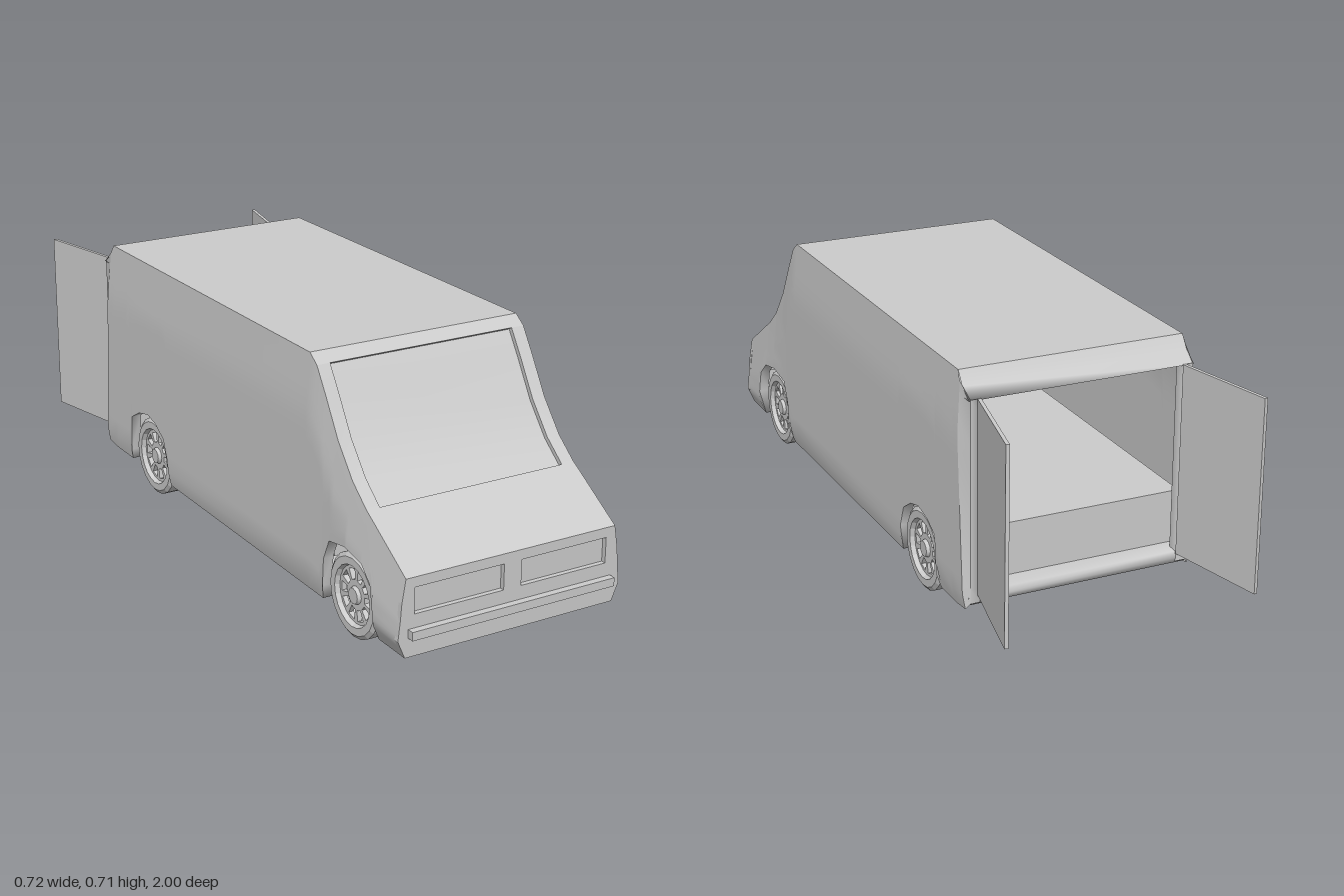
import * as THREE from 'three';

const material = new THREE.MeshStandardMaterial({ color: 0xcccccc, side: THREE.DoubleSide });
const lerp = THREE.MathUtils.lerp;

// Centre-line outline over the nose, screen and roof: [z, y]
const TOP = [[0.98, 0.265], [0.83, 0.36], [0.797, 0.38], [0.73, 0.435], [0.66, 0.52],
  [0.6, 0.62], [0.555, 0.69], [0.52, 0.715], [-0.64, 0.715], [-0.665, 0.678], [-0.705, 0.652]];
// Lower edge of the side panels with both wheel arches: [z, y]
const BOTTOM = [[0.98, 0.05], [0.862, 0.052], [0.86, 0.13], [0.845, 0.2], [0.8, 0.24], [0.72, 0.255], [0.64, 0.24],
  [0.612, 0.18], [0.607, 0.1], [0.59, 0.055], [0.2, 0.06], [-0.283, 0.066], [-0.285, 0.14], [-0.31, 0.205],
  [-0.36, 0.237], [-0.41, 0.25], [-0.47, 0.237], [-0.518, 0.21], [-0.528, 0.1], [-0.54, 0.066], [-0.62, 0.066]];
const EDGE = 0.322;

function topAt(z) {
  for (let i = 1; i < TOP.length; i++) {
    const [z0, y0] = TOP[i - 1], [z1, y1] = TOP[i];
    if (z >= z1) return lerp(y0, y1, (z0 - z) / (z0 - z1));
  }
  return TOP.at(-1)[1];
}

// Half width: sides belly out from the sill and from the upper edge
function halfWidth(y, z, top) {
  const bulge = Math.max(0, Math.min(1, (top - y) / 0.165, (y - 0.05) / 0.05));
  return EDGE + bulge * lerp(0.014, 0.021, THREE.MathUtils.smoothstep(z, 0.6, 0.86));
}

// Surface through rows of [x, y, z] points
function surface(rows) {
  const n = rows[0].length, index = [];
  for (let r = 0; r < rows.length - 1; r++) {
    for (let c = 0; c < n - 1; c++) {
      const a = r * n + c;
      index.push(a, a + 1, a + n, a + 1, a + n + 1, a + n);
    }
  }
  const g = new THREE.BufferGeometry();
  g.setAttribute('position', new THREE.Float32BufferAttribute(rows.flat(2), 3));
  g.setIndex(index);
  g.computeVertexNormals();
  return g;
}

// Sheet swept across x along a [z, y] path
const sheet = (path, x0, x1) => surface(path.map(([z, y]) => [[x0, y, z], [x1, y, z]]));

function box(x0, x1, y0, y1, z0, z1) {
  return new THREE.BoxGeometry(x1 - x0, y1 - y0, z1 - z0)
    .translate((x0 + x1) / 2, (y0 + y1) / 2, (z0 + z1) / 2);
}

function rectHole(x0, x1, y0, y1) {
  return new THREE.Path([[x0, y0], [x0, y1], [x1, y1], [x1, y0]].map(p => new THREE.Vector2(...p)));
}

function add(parent, name, geometry) {
  const mesh = new THREE.Mesh(geometry, material);
  mesh.name = name;
  parent.add(mesh);
  return mesh;
}

function makeWheel() {
  const wheel = new THREE.Group();
  // Tyre: lathe ring turned onto the x axis
  const ring = [[0.085, -0.042], [0.106, -0.042], [0.117, -0.034], [0.117, 0.034], [0.106, 0.042],
    [0.085, 0.042], [0.08, 0.03], [0.08, -0.036], [0.085, -0.042]].map(p => new THREE.Vector2(...p));
  const tyre = new THREE.LatheGeometry(ring, 20).toNonIndexed();
  tyre.computeVertexNormals();
  add(wheel, 'tyre', tyre.rotateZ(-Math.PI / 2));
  // Rim disc with ten tapered openings
  const disc = new THREE.Shape().absarc(0, 0, 0.083, 0, Math.PI * 2);
  for (let i = 0; i < 10; i++) {
    const a = i * Math.PI / 5;
    disc.holes.push(new THREE.Path([[0.042, -0.2], [0.072, -0.2], [0.072, 0.2], [0.042, 0.2]]
      .map(([r, d]) => new THREE.Vector2(r * Math.cos(a + d), r * Math.sin(a + d)))));
  }
  const rim = new THREE.ExtrudeGeometry(disc, { depth: 0.014, bevelEnabled: false, curveSegments: 20 });
  add(wheel, 'rim', rim.rotateY(Math.PI / 2).translate(0.015, 0, 0));
  add(wheel, 'hubCap', new THREE.CylinderGeometry(0.022, 0.026, 0.012, 12).rotateZ(-Math.PI / 2).translate(0.033, 0, 0));
  return wheel;
}

function makeSide(s) {
  const side = new THREE.Group();
  const zs = [...new Set([...BOTTOM, ...TOP].map(p => p[0]))].filter(z => z >= -0.62).sort((a, b) => b - a);
  const bottomAt = z => {
    const i = Math.max(1, BOTTOM.findIndex(p => p[0] <= z));
    const [z0, y0] = BOTTOM[i - 1], [z1, y1] = BOTTOM[i];
    return lerp(y0, y1, (z0 - z) / (z0 - z1));
  };
  const N = 14;
  const columns = zs.map(z => {
    const lo = bottomAt(z), hi = topAt(z);
    return Array.from({ length: N + 1 }, (_, i) => {
      const y = lerp(lo, hi, i / N);
      return [s * halfWidth(y, z, hi), y, z];
    });
  });
  // Leaning rear edge of the panel, then the corner pillar turning in to the doorway
  const rear = [], pillar = [];
  for (let i = 0; i <= N; i++) {
    const t = i / N, y = lerp(0.075, 0.69, t);
    rear.push([s * halfWidth(y, -0.66, 0.715), y, lerp(-0.698, -0.655, t)]);
    pillar.push([s * 0.318, lerp(0.09, 0.655, t), -0.705]);
  }
  columns.push(columns.at(-1).map(([x, y], i) => [x, i === N ? 0.715 : y, -0.64]), rear);
  add(side, 'sidePanel', surface(columns));
  add(side, 'cornerPillar', surface([rear, pillar]));
  add(side, 'doorPost', surface([pillar, pillar.map(([, y, z]) => [s * 0.29, y, z]),
    pillar.map(([, y]) => [s * 0.29, y, -0.67])]));
  // Inward lip around the wheel arches and sill
  add(side, 'archLip', surface(BOTTOM.map(([z, y]) => {
    const x = halfWidth(y, z, topAt(z));
    return [[s * x, y, z], [s * (x - 0.03), y, z]];
  })));
  for (const z of [0.73, -0.403]) {
    const wheel = makeWheel();
    wheel.name = z > 0 ? 'frontWheel' : 'rearWheel';
    wheel.position.set(s * 0.28, 0.117, z);
    if (s < 0) wheel.rotation.y = Math.PI;
    side.add(wheel);
  }
  // Rear door swung open
  const door = add(side, 'rearDoor', box(-0.005, 0.005, 0.113, 0.655, -0.3, 0));
  door.position.set(s * 0.293, 0, -0.705);
  door.rotation.y = -s * 0.212;
  door.scale.z = 1.003;
  return side;
}

export function createModel() {
  const van = new THREE.Group();
  van.name = 'van';

  for (const s of [1, -1]) {
    const side = makeSide(s);
    side.name = s > 0 ? 'leftSide' : 'rightSide';
    van.add(side);
  }

  // Front panel with lamp recesses
  const half = [[0.322, 0.05], [0.343, 0.1], [0.337, 0.15], [0.333, 0.2], [0.322, 0.265]];
  const face = new THREE.Shape([...half, ...half.map(([x, y]) => [-x, y]).reverse()].map(p => new THREE.Vector2(...p)));
  for (const x of [-0.295, 0.027]) {
    face.holes.push(rectHole(x, x + 0.268, 0.165, 0.237));
    add(van, 'headlamp', box(x, x + 0.268, 0.165, 0.237, 0.94, 0.966));
  }
  add(van, 'frontPanel', new THREE.ExtrudeGeometry(face, { depth: 0.015, bevelEnabled: false }).translate(0, 0, 0.965));
  add(van, 'bumper', box(-0.313, 0.313, 0.103, 0.127, 0.975, 1));
  add(van, 'frontValance', sheet([[0.98, 0.05], [0.862, 0.052]], -EDGE, EDGE));

  // Bonnet, screen surround and sunken screen
  const W = 0.283, screen = TOP.slice(2, 7);
  const sunk = screen.map(([z, y]) => [z - 0.011, y - 0.007]);
  add(van, 'bonnet', sheet(TOP.slice(0, 3), -EDGE, EDGE));
  for (const s of [1, -1]) {
    add(van, 'screenPillar', sheet(screen, s * W, s * EDGE));
    add(van, 'screenRim', surface(screen.map(([z, y], i) => [[s * W, y, z], [s * W, sunk[i][1], sunk[i][0]]])));
  }
  add(van, 'windscreen', sheet(sunk, -W, W));
  add(van, 'screenRim', sheet([screen.at(-1), sunk.at(-1)], -W, W));
  add(van, 'screenRim', sheet([screen[0], sunk[0]], -W, W));
  add(van, 'screenHeader', sheet(TOP.slice(6, 8), -EDGE, EDGE));

  // Roof and rear header
  add(van, 'roof', sheet(TOP.slice(7, 9), -EDGE, EDGE));
  add(van, 'rearHeader', sheet([...TOP.slice(8), [-0.67, 0.652]], -EDGE, EDGE));

  // Underfloor, rear sill and raised load bed
  add(van, 'underfloor', sheet([[0.59, 0.055], [0.2, 0.06], [-0.283, 0.066]], -EDGE, EDGE));
  add(van, 'underfloorStep', sheet([[-0.283, 0.066], [-0.284, 0.14]], -EDGE, EDGE));
  add(van, 'rearSill', sheet([[-0.53, 0.12], [-0.54, 0.066], [-0.64, 0.066], [-0.695, 0.082],
    [-0.705, 0.1], [-0.7, 0.118], [-0.64, 0.12]], -EDGE, EDGE));
  add(van, 'loadBed', box(-0.235, 0.235, 0.12, 0.27, -0.645, 0.5));
  add(van, 'bedTop', box(-0.325, 0.325, 0.256, 0.27, -0.645, 0.5));
  for (const s of [1, -1]) {
    add(van, 'bedEnd', box(Math.min(s * 0.235, s * 0.325), Math.max(s * 0.235, s * 0.325), 0.12, 0.27, -0.645, -0.535));
  }
  return van;
}
